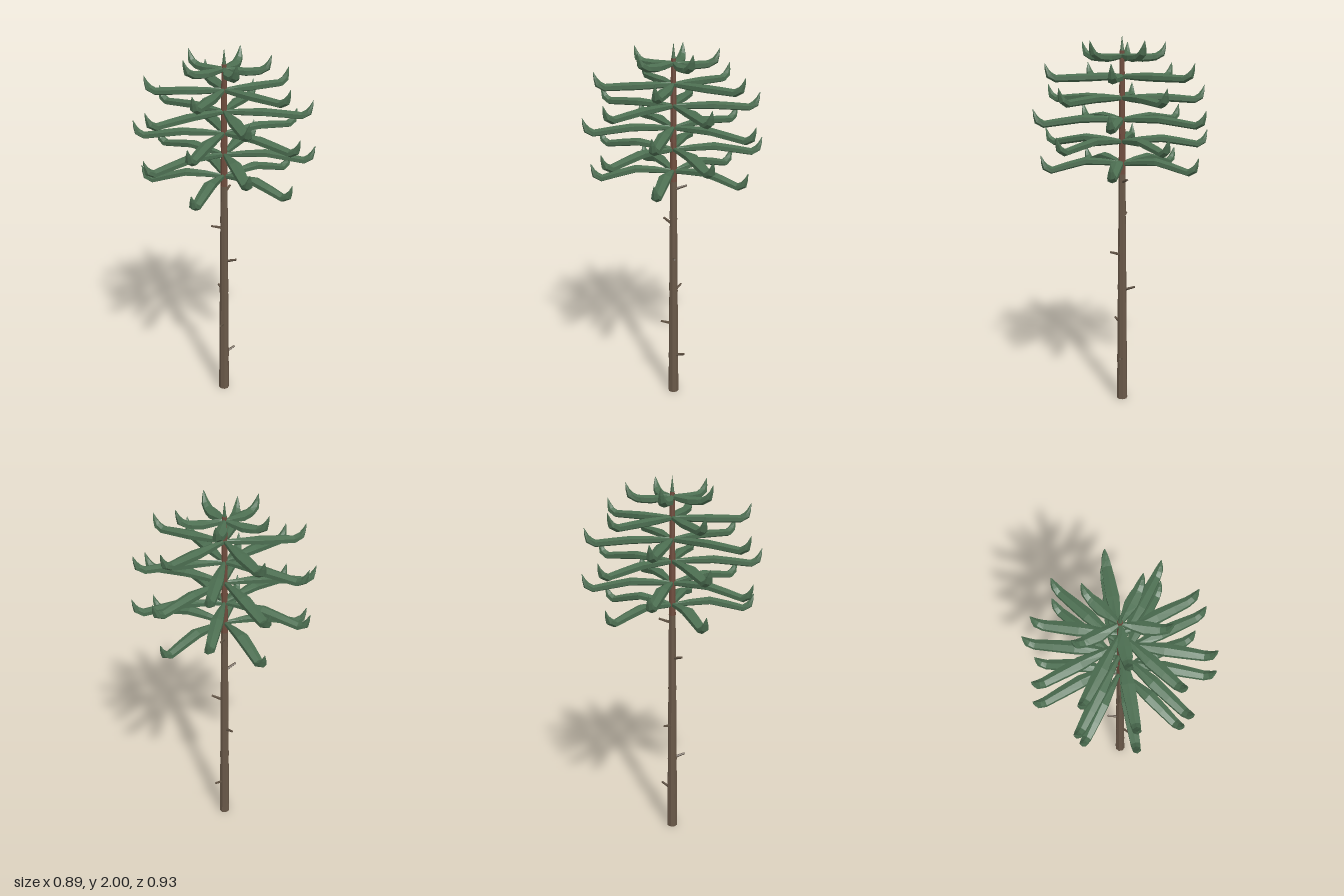
import * as THREE from 'three';

const bark = new THREE.MeshStandardMaterial({ color: 0x695848 });
bark.name = 'bark';
const upperBark = new THREE.MeshStandardMaterial({ color: 0x6f4c3d });
upperBark.name = 'upperBark';
const deadWood = new THREE.MeshStandardMaterial({ color: 0x5f5142 });
deadWood.name = 'deadWood';
const needles = new THREE.MeshStandardMaterial({ color: 0x4c6e51 });
needles.name = 'needles';

// Gives every face its own normal for a faceted look
function faceted(geometry) {
  const flat = geometry.index ? geometry.toNonIndexed() : geometry;
  flat.computeVertexNormals();
  return flat;
}

function addMesh(parent, name, geometry, material) {
  const mesh = new THREE.Mesh(faceted(geometry), material);
  mesh.name = name;
  parent.add(mesh);
  return mesh;
}

// Six-sided loft along +x; each station is [x, y, halfWidth, halfHeight, tilt]
function loft(stations, sides = 6) {
  const positions = [], index = [];
  for (const [x, y, w, h, tilt] of stations) {
    for (let j = 0; j < sides; j++) {
      const a = Math.PI / 2 + (j / sides) * Math.PI * 2;
      const up = h * Math.sin(a);
      positions.push(x - up * Math.sin(tilt), y + up * Math.cos(tilt), w * Math.cos(a));
    }
  }
  for (let i = 0; i < stations.length - 1; i++) {
    for (let j = 0; j < sides; j++) {
      const k = (j + 1) % sides;
      const a = i * sides + j, b = a + sides, c = i * sides + k, d = c + sides;
      index.push(a, b, c, b, d, c);
    }
  }
  const geometry = new THREE.BufferGeometry();
  geometry.setAttribute('position', new THREE.Float32BufferAttribute(positions, 3));
  geometry.setIndex(index);
  return geometry;
}

// Bough that arches, dips near its end and turns up into a point
function boughGeometry(length, tier) {
  const mid = 0.02 - 0.006 * tier;
  const dip = -0.025 + 0.004 * tier;
  return loft([
    [0, 0, 0.007, 0.012, 0],
    [length * 0.22, mid * 0.6, 0.021, 0.018, 0],
    [length * 0.46, mid, 0.035, 0.021, 0],
    [length * 0.68, (mid + dip) * 0.5, 0.031, 0.02, -0.1],
    [length - 0.055, dip, 0.026, 0.019, 0.15],
    [length - 0.022, dip + 0.018, 0.021, 0.019, 0.85],
    [length - 0.01, dip + 0.045, 0.013, 0.01, 1.3],
    [length, dip + 0.078, 0.001, 0.001, 1.4],
  ]);
}

export function createModel() {
  const tree = new THREE.Group();
  tree.name = 'tree';

  // Trunk of stacked tapering logs, each a little wider than the top of the one below
  const trunk = new THREE.Group();
  trunk.name = 'trunk';
  tree.add(trunk);
  const logs = 9, logHeight = 1.92 / logs;
  const radiusAt = (y) => 0.03 - 0.0085 * y;
  for (let i = 0; i < logs; i++) {
    const y = i * logHeight;
    const log = addMesh(trunk, 'trunkLog',
      new THREE.CylinderGeometry(radiusAt(y + logHeight) - 0.001, radiusAt(y), logHeight, 8),
      y < 1.1 ? bark : upperBark);
    log.position.y = y + logHeight / 2;
  }

  // Dead stubs spiralling up the bare trunk
  for (let i = 0; i < 6; i++) {
    const geometry = new THREE.CylinderGeometry(0.006, 0.009, 0.075, 5);
    geometry.translate(0, 0.0375, 0);
    geometry.rotateZ(-1.25);
    const stub = addMesh(tree, 'deadStub', geometry, deadWood);
    stub.position.y = 0.235 + i * 0.2;
    stub.rotation.y = -THREE.MathUtils.degToRad(20 + i * 137.5);
  }

  // Six tiers of five boughs, alternately leading to the front and the back
  const lengths = [0.43, 0.465, 0.465, 0.445, 0.4, 0.232];
  const heights = [1.335, 1.452, 1.567, 1.68, 1.79, 1.895];
  lengths.forEach((length, tier) => {
    const ring = new THREE.Group();
    ring.name = 'boughTier';
    ring.position.y = heights[tier];
    tree.add(ring);
    const start = tier % 2 ? Math.PI / 2 : -Math.PI / 2;
    for (let i = 0; i < 5; i++) {
      const bough = addMesh(ring, 'bough', boughGeometry(length, tier), needles);
      bough.rotation.y = start + (i / 5) * Math.PI * 2;
    }
  });

  // Pointed leader at the top
  const leader = addMesh(tree, 'leader', new THREE.ConeGeometry(0.015, 0.11, 6), needles);
  leader.position.y = 1.945;

  return tree;
}
